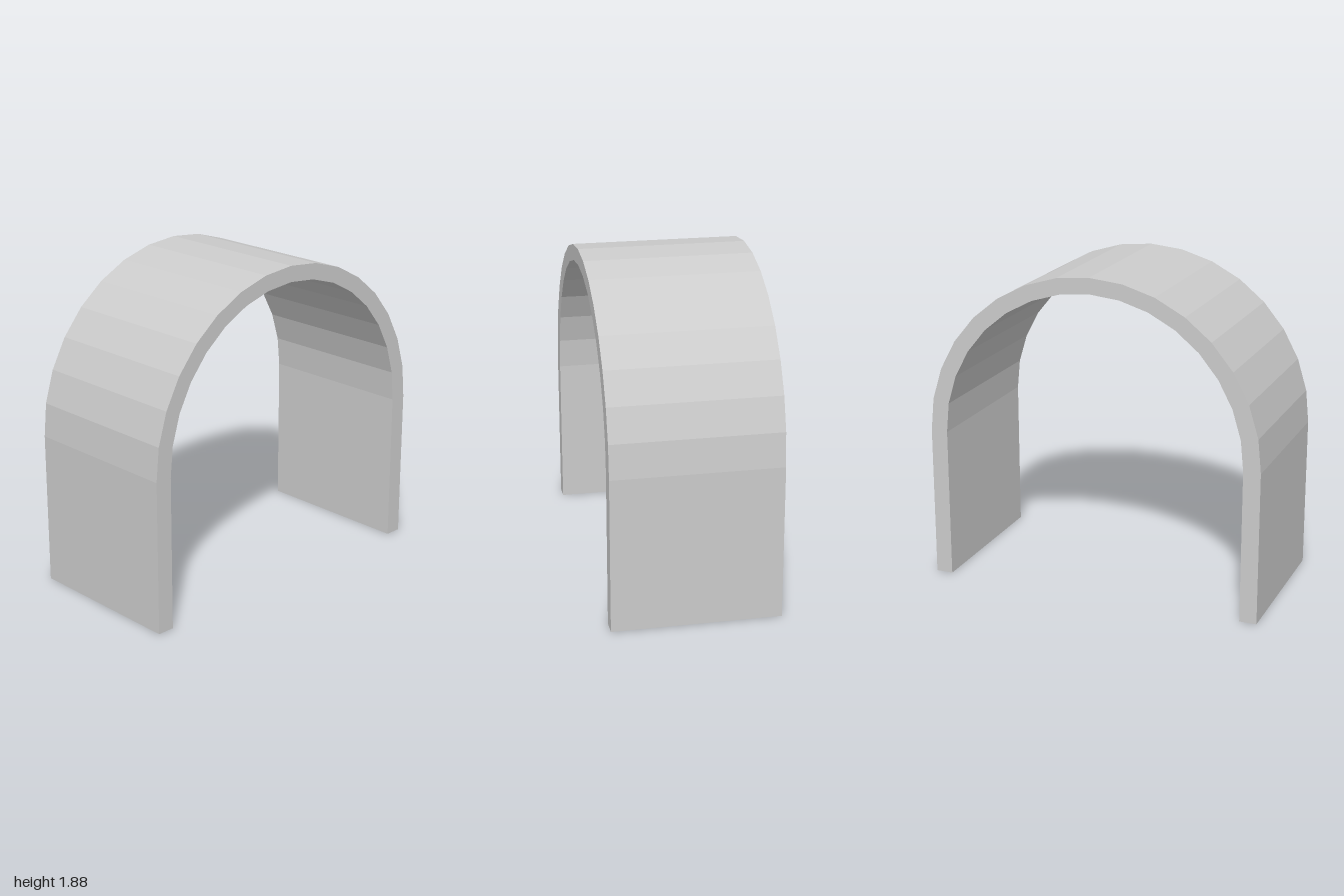
import * as THREE from 'three';

const SEGMENTS = 16;      // facets around the half circle
const SPRING = 0.89;      // height where the curve starts
const HALF_DEPTH = 0.48;

// Outer and inner outline from the left foot, over the crown, to the right foot
function outline(rx, ry) {
  const points = [[rx, 0]];
  for (let i = 0; i <= SEGMENTS; i++) {
    const a = (i / SEGMENTS) * Math.PI;
    points.push([rx * Math.cos(a), SPRING + ry * Math.sin(a)]);
  }
  points.push([-rx, 0]);
  return points;
}

// Sweeps a rectangular hollow section along the arch, with the feet left open
function archGeometry() {
  const outer = outline(1, 0.995);
  const inner = outline(0.9, 0.903);
  const rings = outer.map(([ox, oy], i) => {
    const [ix, iy] = inner[i];
    return [
      [ox, oy, HALF_DEPTH], [ox, oy, -HALF_DEPTH],
      [ix, iy, -HALF_DEPTH], [ix, iy, HALF_DEPTH],
    ];
  });
  const positions = [];
  for (let i = 0; i < rings.length - 1; i++) {
    for (let k = 0; k < 4; k++) {
      const n = (k + 1) % 4;
      const a = rings[i][k], b = rings[i + 1][k];
      const c = rings[i][n], d = rings[i + 1][n];
      positions.push(...a, ...c, ...b, ...b, ...c, ...d);
    }
  }
  const geometry = new THREE.BufferGeometry();
  geometry.setAttribute('position', new THREE.Float32BufferAttribute(positions, 3));
  geometry.computeVertexNormals();
  return geometry;
}

export function createModel() {
  const group = new THREE.Group();
  group.name = 'archway';
  const material = new THREE.MeshStandardMaterial({
    color: 0xcccccc, flatShading: true, side: THREE.DoubleSide,
  });
  const arch = new THREE.Mesh(archGeometry(), material);
  arch.name = 'arch';
  group.add(arch);
  return group;
}
